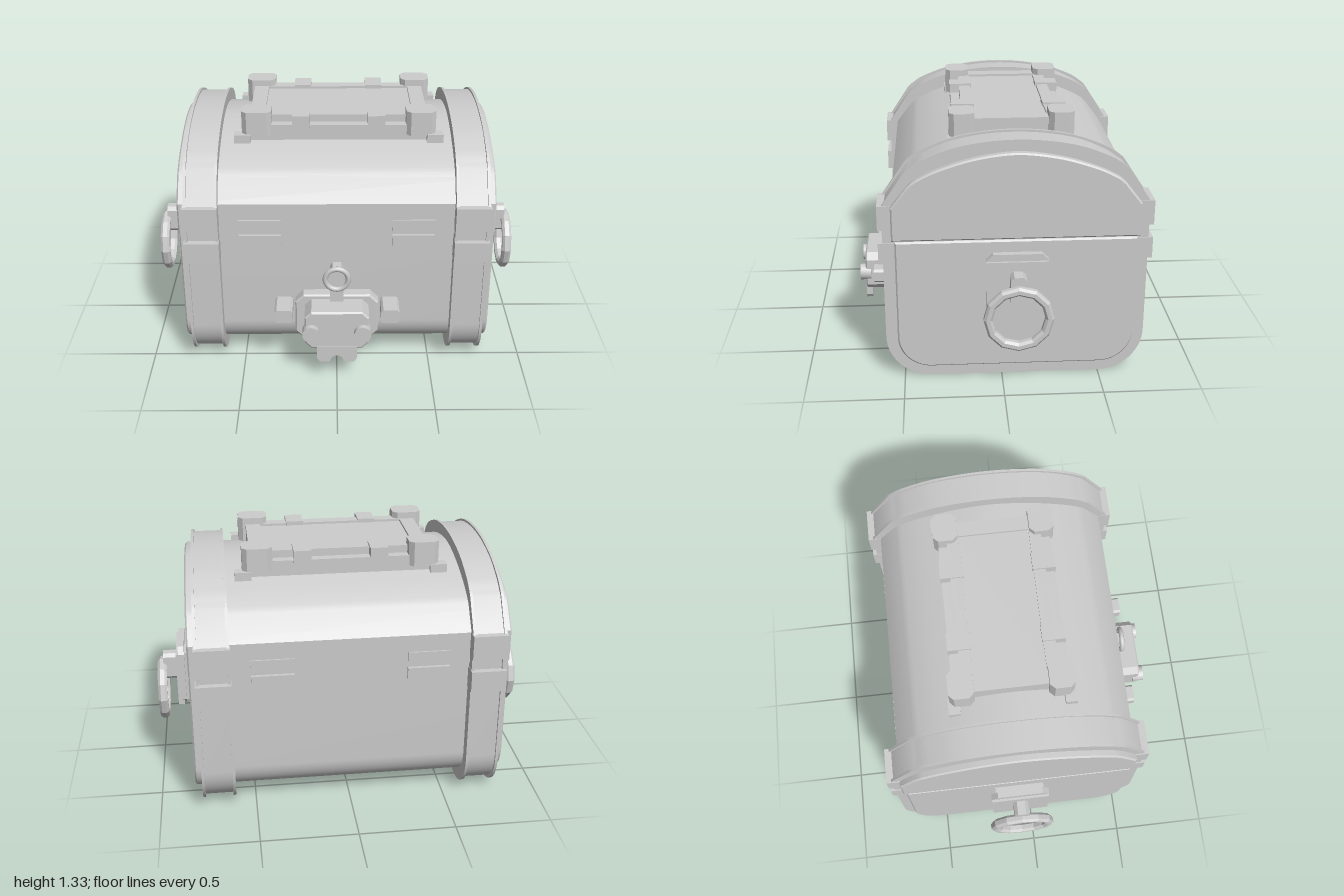
import * as THREE from 'three';
import { toCreasedNormals } from 'three/addons/utils/BufferGeometryUtils.js';

const CZ = -0.07; // chest centre line in z

export function createModel() {
  const model = new THREE.Group();
  model.name = 'chest';
  const grey = new THREE.MeshStandardMaterial({ color: 0xcccccc });
  grey.name = 'plain grey';

  const add = (name, geo, x = 0, y = 0, z = 0) => {
    const mesh = new THREE.Mesh(geo, grey);
    mesh.name = name;
    mesh.position.set(x, y, z);
    model.add(mesh);
    return mesh;
  };
  const box = (name, x0, x1, y0, y1, z0, z1) =>
    add(name, new THREE.BoxGeometry(x1 - x0, y1 - y0, z1 - z0), (x0 + x1) / 2, (y0 + y1) / 2, (z0 + z1) / 2);

  // Extrusion from 0 to depth along z, with an inward bevel
  const slab = (shape, depth, bevel = 0) => {
    const g = new THREE.ExtrudeGeometry(shape, {
      depth: depth - 2 * bevel, curveSegments: 12, bevelEnabled: bevel > 0,
      bevelThickness: bevel, bevelSize: bevel, bevelOffset: -bevel, bevelSegments: 1,
    });
    g.translate(0, 0, bevel);
    return toCreasedNormals(g, 0.45);
  };
  // The same slab laid along x
  const slabX = (shape, x0, x1, bevel = 0) => slab(shape, x1 - x0, bevel).rotateY(Math.PI / 2).translate(x0, 0, 0);

  // Rectangle with cut corners, centred on the origin
  const cutRect = (w, h, c) => new THREE.Shape([
    [-w + c, -h], [w - c, -h], [w, -h + c], [w, h - c], [w - c, h], [-w + c, h], [-w, h - c], [-w, -h + c],
  ].map(([x, y]) => new THREE.Vector2(x, y)));

  // Tub outline: flat top, rounded lower corners
  const lower = (s, w, y0, r) => {
    s.lineTo(-w, y0 + r);
    s.absarc(-w + r, y0 + r, r, Math.PI, Math.PI * 1.5, false);
    s.absarc(w - r, y0 + r, r, Math.PI * 1.5, Math.PI * 2, false);
  };
  // Arched lid outline from right shoulder to left shoulder
  const arch = (s, w, half) => {
    s.lineTo(w, 0.945);
    s.lineTo(half[0][0], half[0][1]);
    const pts = [...half, ...half.slice(0, -1).reverse().map(([x, y]) => [-x, y])];
    s.splineThru(pts.slice(1).map(([x, y]) => new THREE.Vector2(x, y)));
    s.lineTo(-w, 0.945);
  };

  // Tub
  const tub = new THREE.Shape();
  tub.moveTo(-0.6, 0.768);
  lower(tub, 0.6, 0.07, 0.17);
  tub.lineTo(0.6, 0.768);
  add('tub', slabX(tub, -0.815, 0.815, 0.008), 0, 0, CZ);

  // Lid
  const lid = new THREE.Shape();
  lid.moveTo(-0.615, 0.772);
  lid.lineTo(0.615, 0.772);
  arch(lid, 0.615, [[0.53, 1.055], [0.485, 1.09], [0.375, 1.141], [0.2, 1.193], [0, 1.217]]);
  add('lid', slabX(lid, -0.815, 0.815, 0.008), 0, 0, CZ);

  // Straps with thin raised lips at both edges
  const strap = (d) => {
    const s = new THREE.Shape();
    s.moveTo(-0.66 + d, 0.945);
    lower(s, 0.66 - d, d, 0.23);
    arch(s, 0.66 - d, [[0.55 - d, 1.112 - d * 0.6], [0.525 - d, 1.135 - d], [0.456 - d, 1.18 - d],
      [0.315, 1.234 - d], [0.16, 1.264 - d], [0, 1.274 - d]]);
    return s;
  };
  for (const s of [-1, 1]) {
    const span = (a, b) => (s > 0 ? [a, b] : [-b, -a]);
    add('strap', slabX(strap(0.012), ...span(0.61, 0.775)), 0, 0, CZ);
    add('strapInnerLip', slabX(strap(0), ...span(0.606, 0.62)), 0, 0, CZ);
    add('strapOuterLip', slabX(strap(0), ...span(0.765, 0.779)), 0, 0, CZ);
    for (const f of [-1, 1]) {
      const zs = (a, b) => (f > 0 ? [CZ + a, CZ + b] : [CZ - b, CZ - a]);
      // Strap clasps above and below the seam
      box('upperClasp', ...span(0.604, 0.785), 0.82, 0.948, ...zs(0.6, 0.682));
      box('lowerClasp', ...span(0.604, 0.785), 0.64, 0.752, ...zs(0.6, 0.682));
      // Hinge plates
      box('upperHingePlate', ...span(0.288, 0.505), 0.795, 0.855, ...zs(0.6, 0.624));
      box('lowerHingePlate', ...span(0.288, 0.505), 0.705, 0.765, ...zs(0.58, 0.62));
    }
  }

  // Side handles: mount, bracket and ring
  const ringProfile = [[0.13, -0.012], [0.142, -0.025], [0.162, -0.025], [0.174, -0.012],
    [0.174, 0.012], [0.162, 0.025], [0.142, 0.025], [0.13, 0.012], [0.13, -0.012]]
    .map(([x, y]) => new THREE.Vector2(x, y));
  for (const s of [-1, 1]) {
    const span = (a, b) => (s > 0 ? [a, b] : [-b, -a]);
    box('handleBase', ...span(0.81, 0.86), 0.4, 0.684, CZ - 0.13, CZ + 0.13);
    add('handlePlate', slabX(cutRect(0.155, 0.17, 0.035), ...span(0.848, 0.88)), 0, 0.55, CZ);
    box('handlePlateFace', ...span(0.86, 0.893), 0.385, 0.684, CZ - 0.153, CZ + 0.153);
    add('handleBracket', slabX(cutRect(0.04, 0.076, 0.018), ...span(0.88, 0.968)), 0, 0.56, CZ);
    const ring = toCreasedNormals(new THREE.LatheGeometry(ringProfile, 12).rotateZ(Math.PI / 2), 0.3);
    add('handleRing', ring, s * 0.975, 0.42, CZ);
  }

  // Lock: base plate, case, knobs and side lugs
  add('lockPlate', slab(cutRect(0.22, 0.135, 0.045), 0.08, 0.008), 0, 0.297, 0.51);
  add('lockCase', slab(cutRect(0.168, 0.11, 0.035), 0.16, 0.008), 0, 0.298, 0.565);
  for (const s of [-1, 1]) {
    add('lockKnob', toCreasedNormals(new THREE.CylinderGeometry(0.045, 0.045, 0.06, 20).rotateX(Math.PI / 2), 0.5),
      s * 0.135, 0.29, 0.725);
    add('lockLug', slab(cutRect(0.048, 0.038, 0.012), 0.15), s * 0.28, 0.348, 0.52);
  }
  // Lower tongue with a notched end
  const tongue = new THREE.Shape();
  tongue.moveTo(-0.105, 0.2);
  tongue.lineTo(-0.105, 0.13);
  tongue.lineTo(-0.09, 0.108);
  tongue.lineTo(-0.045, 0.108);
  tongue.absarc(0, 0.11, 0.036, Math.PI, 0, true);
  tongue.lineTo(0.09, 0.108);
  tongue.lineTo(0.105, 0.13);
  tongue.lineTo(0.105, 0.2);
  add('lockTongue', slab(tongue, 0.035), 0, 0, 0.695);
  // Hasp bar and ring
  const bar = new THREE.Shape();
  bar.moveTo(-0.035, 0.38);
  bar.lineTo(0.035, 0.38);
  bar.lineTo(0.035, 0.575);
  bar.lineTo(0.022, 0.598);
  bar.lineTo(-0.022, 0.598);
  bar.lineTo(-0.035, 0.575);
  add('haspBar', slab(bar, 0.095), 0, 0, 0.52);
  add('haspRing', new THREE.TorusGeometry(0.06, 0.014, 8, 28), 0, 0.547, 0.62);

  // Top tray: frame, recessed panel, corner posts, feet and tabs
  const TX = 0.013, TZ = -0.066;
  const frame = new THREE.Shape([[-0.467, -0.247], [0.467, -0.247], [0.467, 0.247], [-0.467, 0.247]]
    .map(([x, y]) => new THREE.Vector2(x, y)));
  frame.holes.push(new THREE.Path([[-0.388, -0.185], [-0.388, 0.185], [0.388, 0.185], [0.388, -0.185]]
    .map(([x, y]) => new THREE.Vector2(x, y))));
  add('trayFrame', slab(frame, 0.13).rotateX(-Math.PI / 2), TX, 1.16, TZ);
  box('trayPanel', TX - 0.4, TX + 0.4, 1.15, 1.278, TZ - 0.2, TZ + 0.2);
  for (const s of [-1, 1]) {
    box('traySideRail', TX - 0.485, TX + 0.485, 1.16, 1.25, TZ + s * 0.26 - 0.035, TZ + s * 0.26 + 0.035);
    for (const f of [-1, 1]) {
      add('trayPost', slab(cutRect(0.078, 0.064, 0.025), 0.13).rotateX(-Math.PI / 2),
        TX + s * 0.43, 1.195, TZ + f * 0.252);
      box('trayFoot', TX + s * 0.505 - 0.043, TX + s * 0.505 + 0.043, 1.16, 1.205,
        TZ + f * 0.295 - 0.03, TZ + f * 0.295 + 0.03);
      box('trayTab', TX + s * 0.198 - 0.046, TX + s * 0.198 + 0.046, 1.235, 1.3,
        TZ + f * 0.24 - 0.06, TZ + f * 0.24 + 0.06);
    }
  }
  return model;
}
